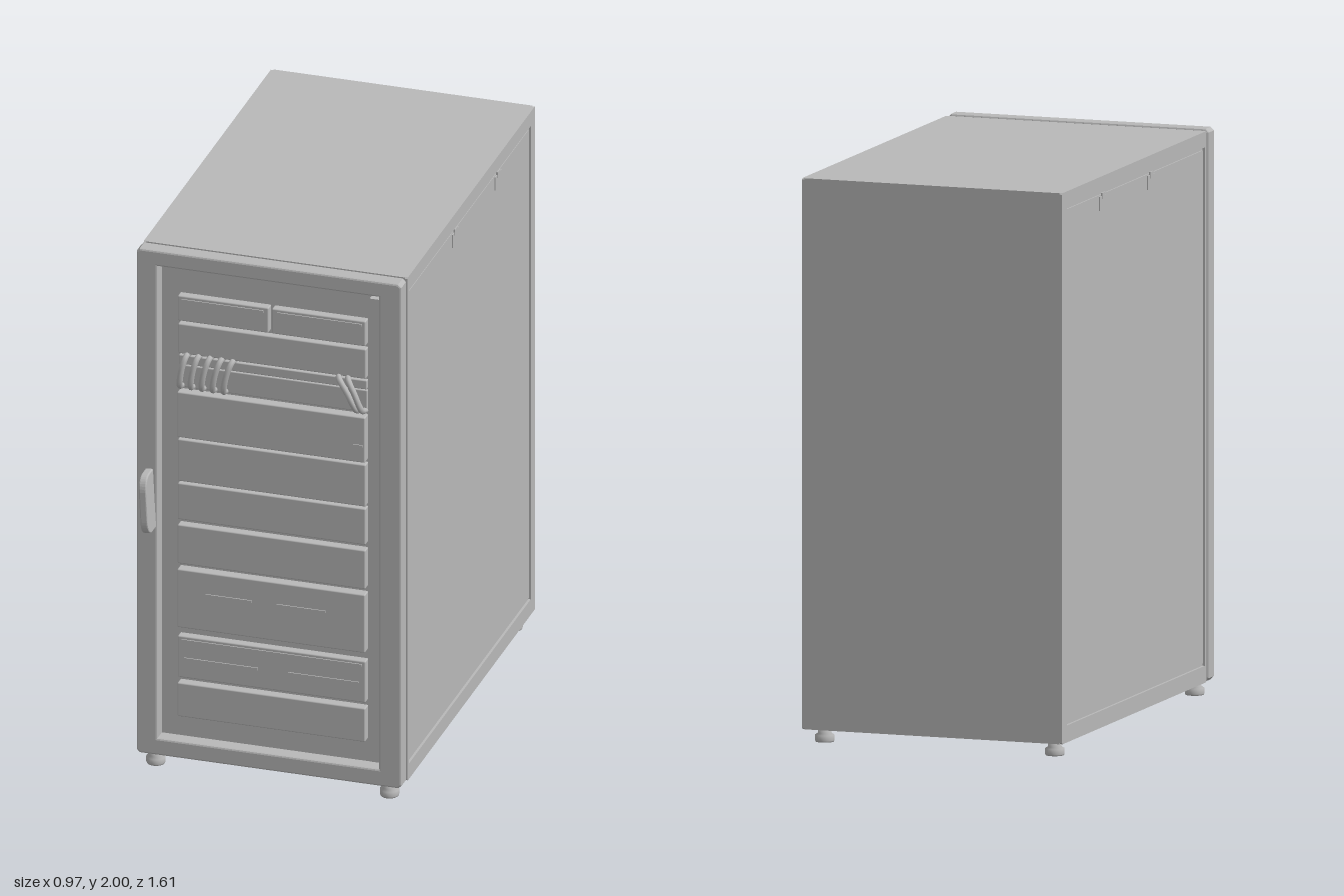
import * as THREE from 'three';
import { RoundedBoxGeometry } from 'three/addons/geometries/RoundedBoxGeometry.js';

const grey = new THREE.MeshStandardMaterial({ color: 0xb8b8b8 });
grey.name = 'cabinet grey';

export function createModel() {
  const root = new THREE.Group();
  root.name = 'serverCabinet';

  const add = (name, geometry, x = 0, y = 0, z = 0) => {
    const mesh = new THREE.Mesh(geometry, grey);
    mesh.name = name;
    mesh.position.set(x, y, z);
    root.add(mesh);
    return mesh;
  };
  // Box given by its limits on each axis
  const box = (name, x0, x1, y0, y1, z0, z1, r = 0) => add(name,
    r ? new RoundedBoxGeometry(x1 - x0, y1 - y0, z1 - z0, 2, r) : new THREE.BoxGeometry(x1 - x0, y1 - y0, z1 - z0),
    (x0 + x1) / 2, (y0 + y1) / 2, (z0 + z1) / 2);

  // Rectangle outline with chamfered corners
  const outline = (Type, a0, a1, b0, b1, c = 0) => {
    const p = new Type();
    p.moveTo(a0 + c, b0).lineTo(a1 - c, b0).lineTo(a1, b0 + c).lineTo(a1, b1 - c);
    p.lineTo(a1 - c, b1).lineTo(a0 + c, b1).lineTo(a0, b1 - c).lineTo(a0, b0 + c).closePath();
    return p;
  };
  const frame = (outer, inner, depth, bevel) => {
    const shape = outline(THREE.Shape, ...outer);
    shape.holes.push(outline(THREE.Path, ...inner));
    return new THREE.ExtrudeGeometry(shape, {
      depth, bevelEnabled: bevel > 0, bevelThickness: bevel, bevelSize: bevel, bevelOffset: -bevel, bevelSegments: 2,
    });
  };

  // Cabinet body
  box('body', -0.474, 0.474, 0.05, 1.995, -0.8, 0.65);
  box('doorGasket', -0.468, 0.468, 0.065, 1.985, 0.64, 0.67).scale.z = 0.6;

  // Side frames around slightly sunken panels, with two latches each
  for (const s of [-1, 1]) {
    const side = add('sideFrame', frame([-0.8, 0.65, 0.05, 1.995, 0.005], [-0.75, 0.635, 0.11, 1.94], 0.009, 0), s * 0.474);
    // Extrusion runs along x; the shape's first axis becomes z
    side.geometry.rotateY(-Math.PI / 2);
    side.geometry.translate(s > 0 ? 0.009 : 0, 0, 0);
    const panelX = s * 0.4755;
    add('sidePanel', new THREE.BoxGeometry(0.007, 1.81, 1.365), panelX, 1.025, -0.0575);
    for (const z of [0.1, -0.385]) {
      add('latchPlate', new THREE.BoxGeometry(0.006, 0.05, 0.07), s * 0.48, 1.9, z);
      add('latchTab', new THREE.BoxGeometry(0.006, 0.022, 0.03), s * 0.482, 1.925, z);
    }
  }

  // Front door frame and its sunken backing
  add('doorFrame', frame([-0.487, 0.483, 0.05, 2, 0.012], [-0.41, 0.4, 0.115, 1.94], 0.045, 0.007), 0, 0, 0.67);
  box('hingeStrip', 0.36, 0.401, 0.13, 1.92, 0.645, 0.7);
  box('equipmentBack', -0.36, 0.36, 0.19, 1.84, 0.645, 0.662);

  // Equipment units: bottom, top, front depth
  const units = [
    [0.2, 0.33, 0.698], [0.35, 0.51, 0.694], [0.545, 0.77, 0.7], [0.79, 0.94, 0.696],
    [0.96, 1.1, 0.694], [1.108, 1.27, 0.694], [1.28, 1.455, 0.7], [1.6, 1.715, 0.69],
  ];
  for (const [y0, y1, z] of units) {
    box('equipmentUnit', -0.345, 0.343, y0, y1, 0.65, z, 0.005);
  }
  box('topUnitLeft', -0.345, -0.012, 1.728, 1.825, 0.65, 0.694, 0.005);
  box('topUnitRight', 0.0, 0.343, 1.728, 1.825, 0.65, 0.694, 0.005);
  box('patchPanel', -0.345, 0.343, 1.465, 1.55, 0.65, 0.675, 0.004);
  box('patchShelf', -0.345, 0.343, 1.555, 1.59, 0.65, 0.68, 0.004);

  // Raised trim lines on the units: x range, height, depth
  const trims = [
    [-0.32, -0.05, 0.425, 0.694], [0.06, 0.32, 0.425, 0.694], [-0.33, 0.33, 0.495, 0.694],
    [-0.24, -0.07, 0.685, 0.7], [0.02, 0.2, 0.685, 0.7], [0.3, 0.335, 1.345, 0.7],
    [-0.33, -0.03, 1.81, 0.694], [0.02, 0.33, 1.81, 0.694],
  ];
  for (const [x0, x1, y, z] of trims) box('unitTrim', x0, x1, y - 0.004, y + 0.004, z - 0.002, z + 0.004);

  // Bowed patch cables
  const cable = (x0, x1) => {
    const curve = new THREE.CatmullRomCurve3([
      new THREE.Vector3(x0, 1.595, 0.665), new THREE.Vector3(x0 + (x1 - x0) * 0.1, 1.595, 0.7),
      new THREE.Vector3(x0 + (x1 - x0) * 0.55, 1.55, 0.715),
      new THREE.Vector3(x0 + (x1 - x0) * 0.95, 1.485, 0.705), new THREE.Vector3(x1, 1.47, 0.67),
    ]);
    add('patchCable', new THREE.TubeGeometry(curve, 20, 0.011, 8));
  };
  for (let i = 0; i < 5; i++) cable(-0.31 + i * 0.042, -0.335 + i * 0.04);
  cable(0.24, 0.315);
  cable(0.275, 0.335);

  // Door handle: a flat D-shaped grip
  const grip = new THREE.Shape();
  grip.moveTo(0.715, 0.93).lineTo(0.77, 0.93).quadraticCurveTo(0.808, 0.94, 0.808, 0.985);
  grip.lineTo(0.808, 1.1).quadraticCurveTo(0.805, 1.15, 0.765, 1.155).lineTo(0.715, 1.155).closePath();
  const gap = new THREE.Path();
  gap.moveTo(0.722, 0.962).lineTo(0.757, 0.962).quadraticCurveTo(0.778, 0.968, 0.778, 0.995);
  gap.lineTo(0.778, 1.09).quadraticCurveTo(0.775, 1.122, 0.752, 1.125).lineTo(0.722, 1.125).closePath();
  grip.holes.push(gap);
  const gripGeometry = new THREE.ExtrudeGeometry(grip, {
    depth: 0.018, bevelThickness: 0.005, bevelSize: 0.005, bevelOffset: -0.005, bevelSegments: 3, curveSegments: 8,
  });
  gripGeometry.rotateY(-Math.PI / 2);
  gripGeometry.translate(0.009, -1.04, 0);
  add('doorHandle', gripGeometry, -0.434, 1.04, 0).rotation.z = 0.05;

  // Underside plate with a notched edge
  const plate = new THREE.Shape();
  plate.moveTo(-0.36, -0.68).lineTo(0.36, -0.68).lineTo(0.36, 0.1).lineTo(0.24, 0.16);
  plate.lineTo(0.24, 0.56).lineTo(-0.36, 0.56).closePath();
  const plateGeometry = new THREE.ExtrudeGeometry(plate, { depth: 0.012, bevelEnabled: false });
  plateGeometry.rotateX(-Math.PI / 2);
  add('undersidePlate', plateGeometry, 0, 0.04, 0);

  // Levelling feet
  const footProfile = [[0, 0], [0.032, 0], [0.034, 0.005], [0.034, 0.024], [0.024, 0.03], [0.024, 0.06], [0, 0.06]]
    .map(([r, y]) => new THREE.Vector2(r, y));
  const footGeometry = new THREE.LatheGeometry(footProfile, 20);
  for (const x of [-0.43, 0.425]) for (const z of [0.675, -0.73]) add('foot', footGeometry, x, 0, z);

  return root;
}
